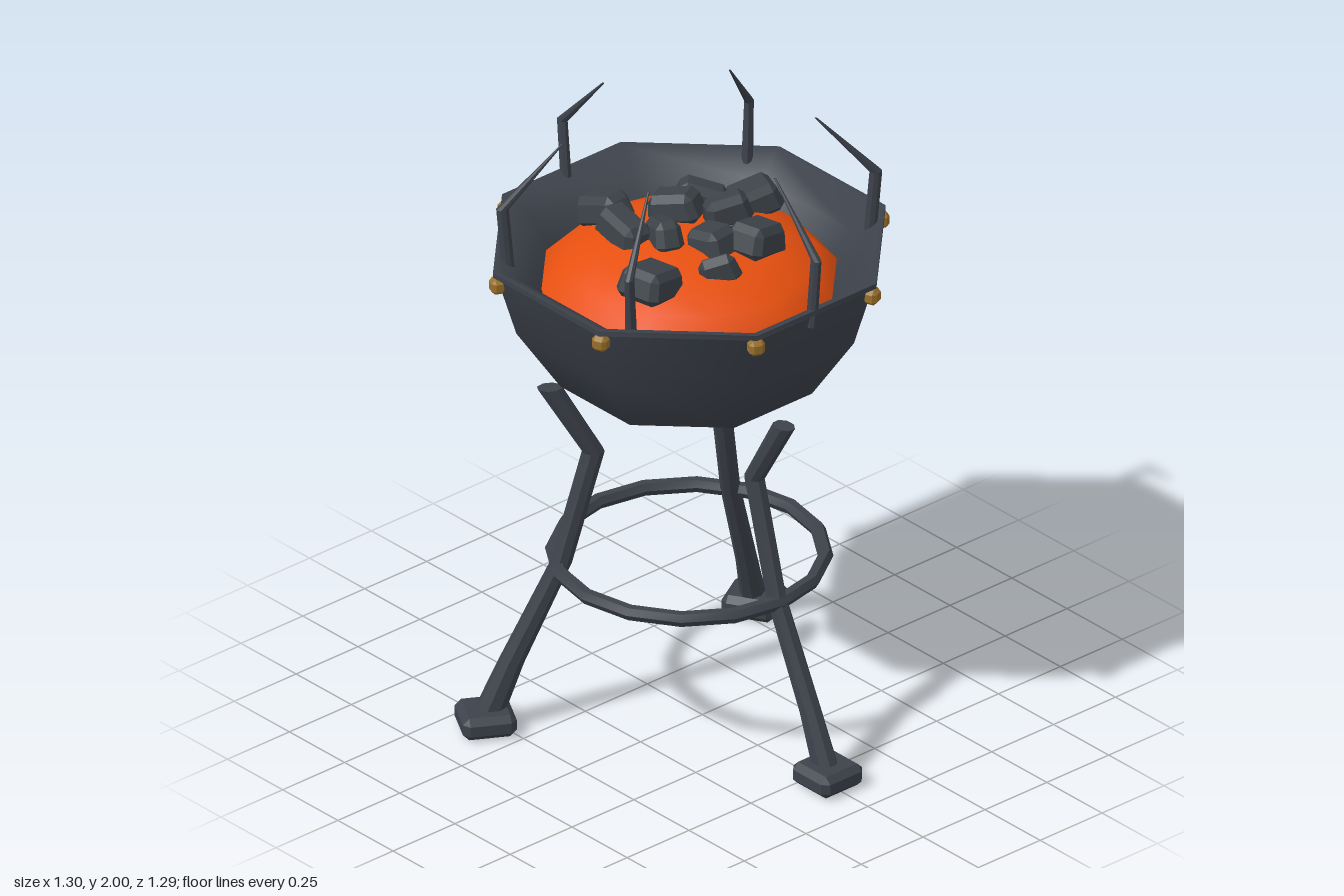
import * as THREE from 'three';
import { toCreasedNormals } from 'three/addons/utils/BufferGeometryUtils.js';
import { ConvexGeometry } from 'three/addons/geometries/ConvexGeometry.js';

const makeMaterial = (name, color) => {
  const m = new THREE.MeshStandardMaterial({ color });
  m.name = name;
  return m;
};

// Box with all edges and corners bevelled by c; the top can be narrowed
function bevelBox(w, h, d, c, taper = 1) {
  const pts = [];
  for (const sx of [-1, 1]) for (const sy of [-1, 1]) for (const sz of [-1, 1]) {
    const t = sy > 0 ? taper : 1;
    const x = w / 2, y = h / 2, z = d / 2;
    pts.push(
      new THREE.Vector3(sx * x * t, sy * (y - c), sz * (z - c) * t),
      new THREE.Vector3(sx * (x - c) * t, sy * y, sz * (z - c) * t),
      new THREE.Vector3(sx * (x - c) * t, sy * (y - c), sz * z * t));
  }
  return new ConvexGeometry(pts);
}

// Bent bar from level slices, top first: [distance out, height, half depth, half width]
function bentBar(slices) {
  const n = slices.length - 1;
  const geo = new THREE.CylinderGeometry(1, 1, 1, 8, n, false, Math.PI / 8);
  const p = geo.attributes.position;
  for (let i = 0; i < p.count; i++) {
    const [r, y, a, b] = slices[Math.round((0.5 - p.getY(i)) * n)];
    p.setXYZ(i, r + p.getX(i) * a, y, p.getZ(i) * b);
  }
  return toCreasedNormals(geo, 0.3);
}

export function createModel() {
  const iron = makeMaterial('dark iron', 0x3d424b);
  const coalMat = makeMaterial('charcoal', 0x3c4248);
  const ember = makeMaterial('glowing ember', 0xe8500f);
  const brass = makeMaterial('old brass', 0x9a7029);

  const model = new THREE.Group();
  model.name = 'brazier';
  const body = new THREE.Group();
  body.name = 'body';
  body.position.x = -0.06;
  model.add(body);

  const add = (parent, name, geo, mat) => {
    const mesh = new THREE.Mesh(geo, mat);
    mesh.name = name;
    parent.add(mesh);
    return mesh;
  };

  // Eight-sided bowl: outside, lip, then inside; distances are to the flats
  const profile = [
    [0, 1.07], [0.15, 1.07], [0.38, 1.19], [0.51, 1.4], [0.568, 1.608],
    [0.579, 1.608], [0.579, 1.625], [0.562, 1.625],
    [0.475, 1.56], [0.43, 1.49], [0.36, 1.36], [0, 1.3],
  ].map(([r, y]) => new THREE.Vector2(r / Math.cos(Math.PI / 8), y));
  const bowl = new THREE.LatheGeometry(profile, 8, Math.PI / 8);
  add(body, 'bowl', toCreasedNormals(bowl, 0.9), iron);

  // Mound of embers
  const mound = new THREE.SphereGeometry(1, 12, 5, 0, Math.PI * 2, 0, Math.PI / 2);
  mound.scale(0.48, 0.235, 0.48);
  add(body, 'emberMound', mound, ember).position.y = 1.43;

  // Rivets at the bowl corners
  for (let k = 0; k < 8; k++) {
    const a = (k + 0.5) * Math.PI / 4;
    const rivet = add(body, 'rivet', bevelBox(0.045, 0.05, 0.05, 0.012), brass);
    rivet.position.set(Math.cos(a) * 0.613, 1.58, -Math.sin(a) * 0.613);
    rivet.rotation.y = a;
  }

  // Six inward-bent spikes on the rim
  const spikeGeo = bentBar([
    [0.39, 2.0, 0.004, 0.003], [0.575, 1.795, 0.02, 0.014], [0.555, 1.56, 0.02, 0.018],
  ]);
  for (let k = 0; k < 6; k++) {
    add(body, 'spike', spikeGeo, iron).rotation.y = k * Math.PI / 3;
  }

  // Three bent legs with bevelled feet
  const legGeo = bentBar([
    [0.43, 1.16, 0.04, 0.029], [0.295, 0.925, 0.035, 0.03], [0.395, 0.55, 0.034, 0.03],
    [0.55, 0.22, 0.042, 0.032], [0.615, 0.06, 0.05, 0.038],
  ]);
  const footGeo = bevelBox(0.166, 0.074, 0.166, 0.02);
  for (let k = 0; k < 3; k++) {
    const leg = new THREE.Group();
    leg.name = 'leg';
    leg.rotation.y = k * Math.PI * 2 / 3;
    add(leg, 'legBar', legGeo, iron);
    add(leg, 'foot', footGeo, iron).position.set(0.627, 0.037, 0);
    body.add(leg);
  }

  // Brace ring joining the legs
  const ring = new THREE.TorusGeometry(0.412, 0.024, 6, 16);
  ring.rotateX(Math.PI / 2);
  add(body, 'braceRing', toCreasedNormals(ring, 0.5), iron).position.y = 0.54;

  // Coals: x, y, z, length, width, turn, tilt
  const coals = [
    [-0.10, 1.64, -0.29, 0.17, 0.13, 1.2, 0.25],
    [-0.18, 1.66, -0.155, 0.17, 0.10, 0.8, -0.3],
    [-0.155, 1.69, -0.03, 0.17, 0.11, 0.45, 0.25],
    [-0.035, 1.69, -0.13, 0.15, 0.09, 1.1, 0.2],
    [0.115, 1.66, -0.115, 0.17, 0.14, 1.8, -0.25],
    [0.045, 1.66, 0.0, 0.14, 0.13, 0.1, 0.2],
    [-0.075, 1.67, 0.09, 0.16, 0.09, -0.4, 0.3],
    [-0.35, 1.64, 0.085, 0.18, 0.11, 0.1, 0.35],
    [-0.19, 1.66, 0.145, 0.19, 0.11, -0.1, -0.15],
    [0.065, 1.63, 0.265, 0.17, 0.16, 1.75, -0.2],
    [0.165, 1.64, 0.08, 0.13, 0.05, 0.9, 0.3],
  ];
  for (const [x, y, z, l, w, turn, tilt] of coals) {
    const coal = add(model, 'coal', bevelBox(l, 0.1, w, 0.022, 0.88), coalMat);
    coal.position.set(x, y, z);
    coal.rotation.set(0, turn, tilt, 'YXZ');
  }

  return model;
}
